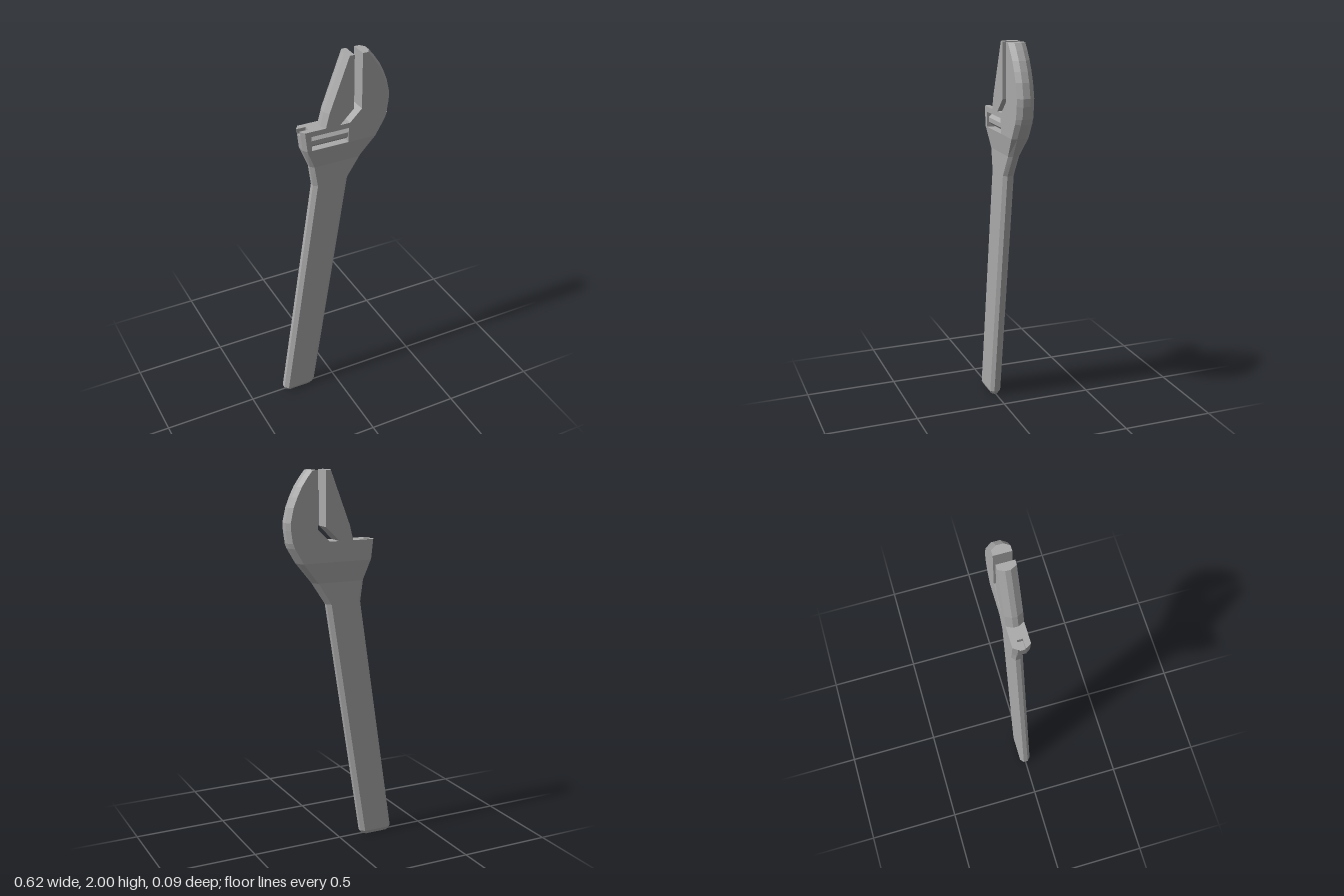
import * as THREE from 'three';

const steel = new THREE.MeshStandardMaterial({ color: 0xaaaaaa });
steel.name = 'steel';

// Horizontal section: chamfered left and right edges (a chamfer of 0 leaves that side square).
function section(xl, xr, h, m, bl, br) {
  const left = bl ? [[xl, m], [xl + bl, h]] : [[xl, h]];
  const right = br ? [[xr - br, h], [xr, m]] : [[xr, h]];
  const front = [...left, ...right];
  return [...front, ...front.map(([x, z]) => [x, -z]).reverse()];
}

// Joins sections [y, points] upwards with flat faces and closes both ends.
function loft(name, rings) {
  const pos = [];
  const put = (y, p) => pos.push(p[0], y, p[1]);
  for (let k = 0; k < rings.length - 1; k++) {
    const [y0, A] = rings[k], [y1, B] = rings[k + 1];
    A.forEach((a, i) => {
      const j = (i + 1) % A.length;
      put(y0, a); put(y0, A[j]); put(y1, B[j]);
      put(y0, a); put(y1, B[j]); put(y1, B[i]);
    });
  }
  const cap = ([y, pts], up) => {
    const flat = pts.map(p => new THREE.Vector2(p[0], p[1]));
    for (const t of THREE.ShapeUtils.triangulateShape(flat, [])) {
      const [a, b, c] = t.map(i => pts[i]);
      const ny = (b[1] - a[1]) * (c[0] - a[0]) - (b[0] - a[0]) * (c[1] - a[1]);
      ((ny > 0) === up ? [a, b, c] : [a, c, b]).forEach(p => put(y, p));
    }
  };
  cap(rings[0], false);
  cap(rings[rings.length - 1], true);
  const geo = new THREE.BufferGeometry();
  geo.setAttribute('position', new THREE.Float32BufferAttribute(pos, 3));
  geo.computeVertexNormals();
  const mesh = new THREE.Mesh(geo, steel);
  mesh.name = name;
  return mesh;
}

export function createModel() {
  const group = new THREE.Group();
  group.name = 'adjustableWrench';
  const H = 0.045, M = 0.022, B = 0.016;

  // Slanted handle flaring into the neck
  group.add(loft('handle', [
    [0, section(-0.297, -0.137, 0.02, 0.007, 0.018, 0.018)],
    [0.02, section(-0.309, -0.124, 0.03, 0.012, 0.02, 0.02)],
    [1.315, section(-0.114, 0.08, 0.03, 0.012, 0.02, 0.02)],
    [1.43, section(-0.13, 0.156, 0.03, 0.012, 0.018, 0.022)],
    [1.537, section(-0.172, 0.241, H, M, B, 0.02)],
  ]));

  // Head with a pocket in its front for the adjusting screw
  const pocket = (xl, xr) => {
    const s = section(xl, xr, H, M, B, 0.02);
    s.splice(2, 0, [-0.133, H], [-0.133, -0.025], [0.07, -0.025], [0.07, H]);
    return s;
  };
  group.add(loft('headPocket', [[1.537, pocket(-0.172, 0.241)], [1.616, pocket(-0.181, 0.288)]]));

  // Top of the head with the rail groove open to the side
  const groove = (xl, xr) => {
    const s = section(xl, xr, H, M, B, 0.02);
    s.push([xl, -0.015], [-0.136, -0.015], [-0.136, 0.015], [xl, 0.015]);
    return s;
  };
  group.add(loft('headTop', [[1.616, groove(-0.181, 0.288)], [1.643, groove(-0.184, 0.298)]]));

  // Curved fixed jaw: [y, inner x, outer x]
  const hook = [
    [1.643, 0.077, 0.298], [1.706, 0.142, 0.307], [1.745, 0.142, 0.309],
    [1.82, 0.142, 0.292], [1.87, 0.142, 0.272], [1.92, 0.142, 0.247],
    [1.965, 0.142, 0.216], [2, 0.142, 0.188],
  ];
  group.add(loft('fixedJaw', hook.map(([y, xl, xr]) => [y, section(xl, xr, H, 0.018, 0, 0.018)])));

  // Sliding jaw with its rack
  group.add(loft('slidingJaw', [
    [1.643, section(-0.071, 0.022, H, 0.013, B, 0)],
    [1.717, section(-0.052, 0.098, H, 0.013, B, 0)],
    [2, section(0.056, 0.098, H, 0.013, B, 0)],
  ]));
  const rack = new THREE.Mesh(new THREE.BoxGeometry(0.159, 0.036, 0.03), steel);
  rack.name = 'rack';
  rack.position.set(-0.0555, 1.6245, 0);
  group.add(rack);

  // Adjusting screw lying across the pocket
  const screwGeo = new THREE.CylinderGeometry(0.03, 0.03, 0.203, 8).toNonIndexed();
  screwGeo.computeVertexNormals();
  const screw = new THREE.Mesh(screwGeo, steel);
  screw.name = 'adjustingScrew';
  screw.rotation.set(Math.PI / 8, 0, Math.PI / 2);
  screw.position.set(-0.0315, 1.575, 0.008);
  group.add(screw);

  return group;
}
